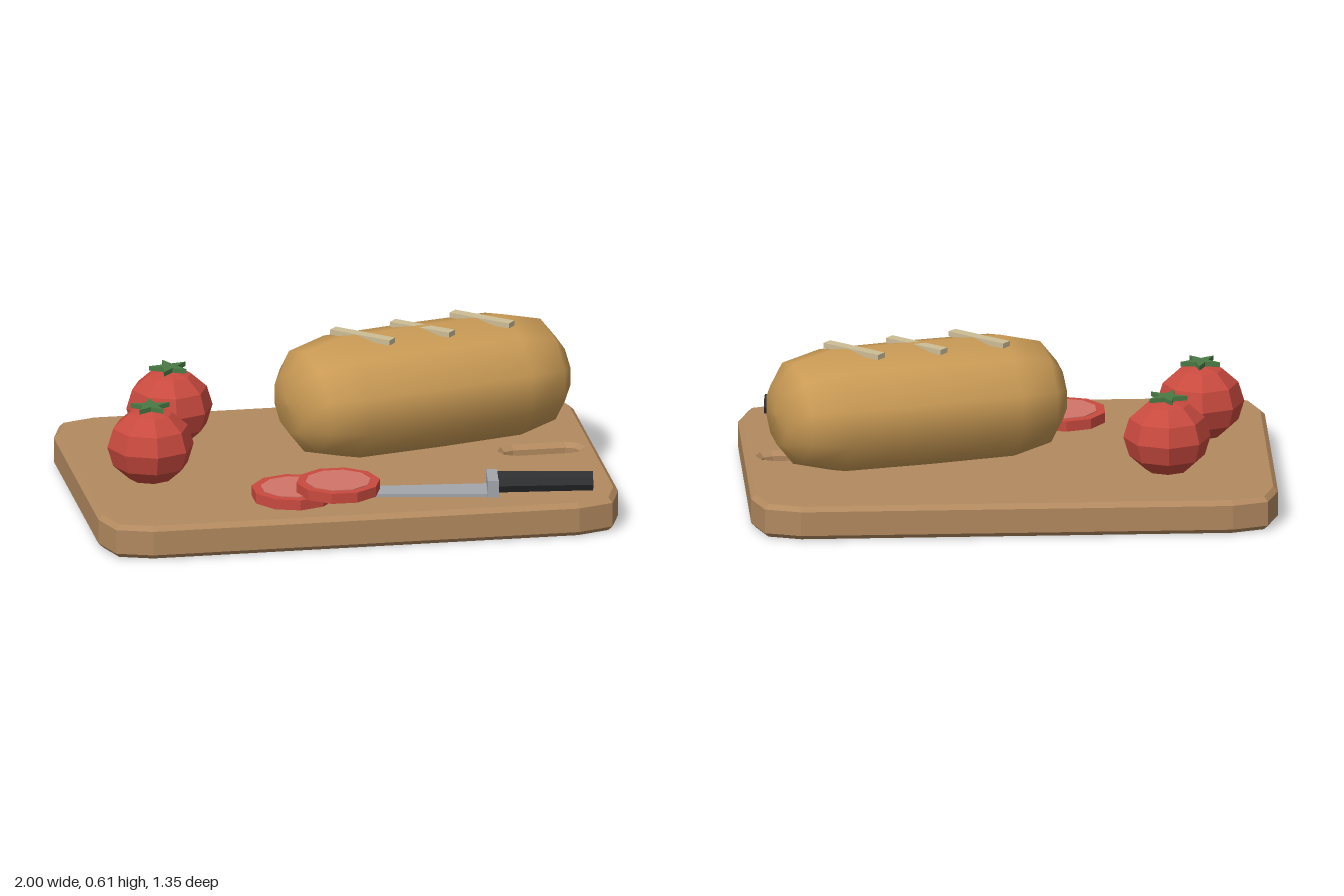
import * as THREE from 'three';

const mat = (color, flatShading = true) => new THREE.MeshStandardMaterial({ color, flatShading });
const WOOD = mat(0xb38a60), CRUST = mat(0xc99a55, false), SCORE = mat(0xcdbd96);
const SKIN = mat(0xc94a3f), FLESH = mat(0xd27468), LEAF = mat(0x4a7a45);
const STEEL = mat(0xa3a7ac), GRIP = mat(0x2e2f31);

function add(parent, name, geometry, material, x = 0, y = 0, z = 0) {
  const mesh = new THREE.Mesh(geometry, material);
  mesh.name = name;
  mesh.position.set(x, y, z);
  parent.add(mesh);
  return mesh;
}

function subgroup(parent, name, x, y, z, turn = 0) {
  const g = new THREE.Group();
  g.name = name;
  g.position.set(x, y, z);
  g.rotation.y = turn;
  parent.add(g);
  return g;
}

// Flat shape lying in the xz plane, thickened upwards from y = 0
function slab(shape, depth) {
  return new THREE.ExtrudeGeometry(shape, { depth, bevelEnabled: false }).rotateX(-Math.PI / 2);
}

// Chopping board: coarse rounded corners, bevelled rims, slot for hanging
function boardGeometry() {
  const w = 1, d = 0.675, r = 0.18;
  const s = new THREE.Shape();
  s.moveTo(-w + r, -d);
  s.lineTo(w - r, -d);
  s.quadraticCurveTo(w, -d, w, -d + r);
  s.lineTo(w, d - r);
  s.quadraticCurveTo(w, d, w - r, d);
  s.lineTo(-w + r, d);
  s.quadraticCurveTo(-w, d, -w, d - r);
  s.lineTo(-w, -d + r);
  s.quadraticCurveTo(-w, -d, -w + r, -d);
  const slot = new THREE.Path();
  slot.absarc(0.89, 0, 0.05, Math.PI / 2, -Math.PI / 2, true);
  slot.absarc(0.69, 0, 0.05, -Math.PI / 2, -Math.PI * 1.5, true);
  s.holes.push(slot);
  return new THREE.ExtrudeGeometry(s, {
    depth: 0.094, bevelThickness: 0.018, bevelSize: 0.018, bevelOffset: -0.018,
    bevelSegments: 1, curveSegments: 2,
  }).rotateX(-Math.PI / 2).translate(0, 0.018, 0);
}

// Loaf: ten-sided lathe lying on its side, with three slashes on top
function addLoaf(parent) {
  const loaf = subgroup(parent, 'loaf', 0.353, 0.37, -0.12, 0.25);
  const half = [[0.14, 0.555], [0.24, 0.49], [0.287, 0.335]];
  const profile = [
    [0, -0.565], ...half.map(([r, u]) => [r, -u]),
    [0.29, 0], ...half.slice().reverse(), [0, 0.565],
  ].map(([r, u]) => new THREE.Vector2(r, u));
  const crust = new THREE.LatheGeometry(profile, 10, Math.PI / 2)
    .rotateZ(-Math.PI / 2).scale(1, 0.24 / 0.29, 1);
  add(loaf, 'crust', crust, CRUST);
  for (const i of [-1, 0, 1]) {
    const slash = add(loaf, 'slash', new THREE.BoxGeometry(0.26, 0.02, 0.042), SCORE,
      i * 0.248, i ? 0.23 : 0.227, 0);
    slash.rotation.y = -0.95;
  }
}

// Whole tomato with a five-pointed stalk leaf
function addTomato(parent, x, z, turn) {
  const tomato = subgroup(parent, 'tomato', x, 0.13, z);
  add(tomato, 'tomatoBody', new THREE.SphereGeometry(0.166, 8, 6).scale(1, 0.89, 1), SKIN, 0, 0.148, 0);
  const star = new THREE.Shape();
  for (let i = 0; i < 10; i++) {
    const a = (i / 10) * Math.PI * 2 + Math.PI / 2, r = i % 2 ? 0.03 : 0.078;
    star[i ? 'lineTo' : 'moveTo'](r * Math.cos(a), r * Math.sin(a));
  }
  star.closePath();
  add(tomato, 'tomatoLeaf', slab(star, 0.018), LEAF, 0, 0.292, 0).rotation.y = turn;
}

// Tomato slice: skin disc with a slightly raised flesh disc
function addSlice(parent, x, y, z, turn) {
  const slice = subgroup(parent, 'tomatoSlice', x, y, z, turn);
  add(slice, 'sliceSkin', new THREE.CylinderGeometry(0.16, 0.16, 0.04, 10), SKIN, 0, 0.02, 0);
  add(slice, 'sliceFlesh', new THREE.CylinderGeometry(0.125, 0.125, 0.042, 10), FLESH, 0, 0.022, 0);
}

// Knife lying flat, its blade tip tucked below the upper slice
function addKnife(parent) {
  const knife = subgroup(parent, 'knife', 0.52, 0.13, 0.475, -0.13);
  const blade = new THREE.Shape([[0, -0.065], [0, 0.066], [-0.46, 0.05], [-0.6, 0.03], [-0.5, -0.045]]
    .map(([x, y]) => new THREE.Vector2(x, y)));
  add(knife, 'blade', slab(blade, 0.012), STEEL, 0, 0.001, 0);
  add(knife, 'bolster', new THREE.BoxGeometry(0.042, 0.066, 0.145), STEEL, 0, 0.034, 0);
  const handle = new THREE.CylinderGeometry(0.05, 0.055, 0.36, 8)
    .rotateZ(-Math.PI / 2).scale(1, 0.76, 1);
  add(knife, 'handle', handle, GRIP, 0.2, 0.042, 0.007);
}

export function createModel() {
  const model = new THREE.Group();
  model.name = 'choppingBoardSet';
  add(model, 'board', boardGeometry(), WOOD);
  addLoaf(model);
  addTomato(model, -0.588, -0.305, 0.2);
  addTomato(model, -0.738, 0.14, -0.1);
  addSlice(model, -0.235, 0.13, 0.41, 0);
  addSlice(model, -0.075, 0.17, 0.48, 0.3);
  addKnife(model);
  return model;
}
